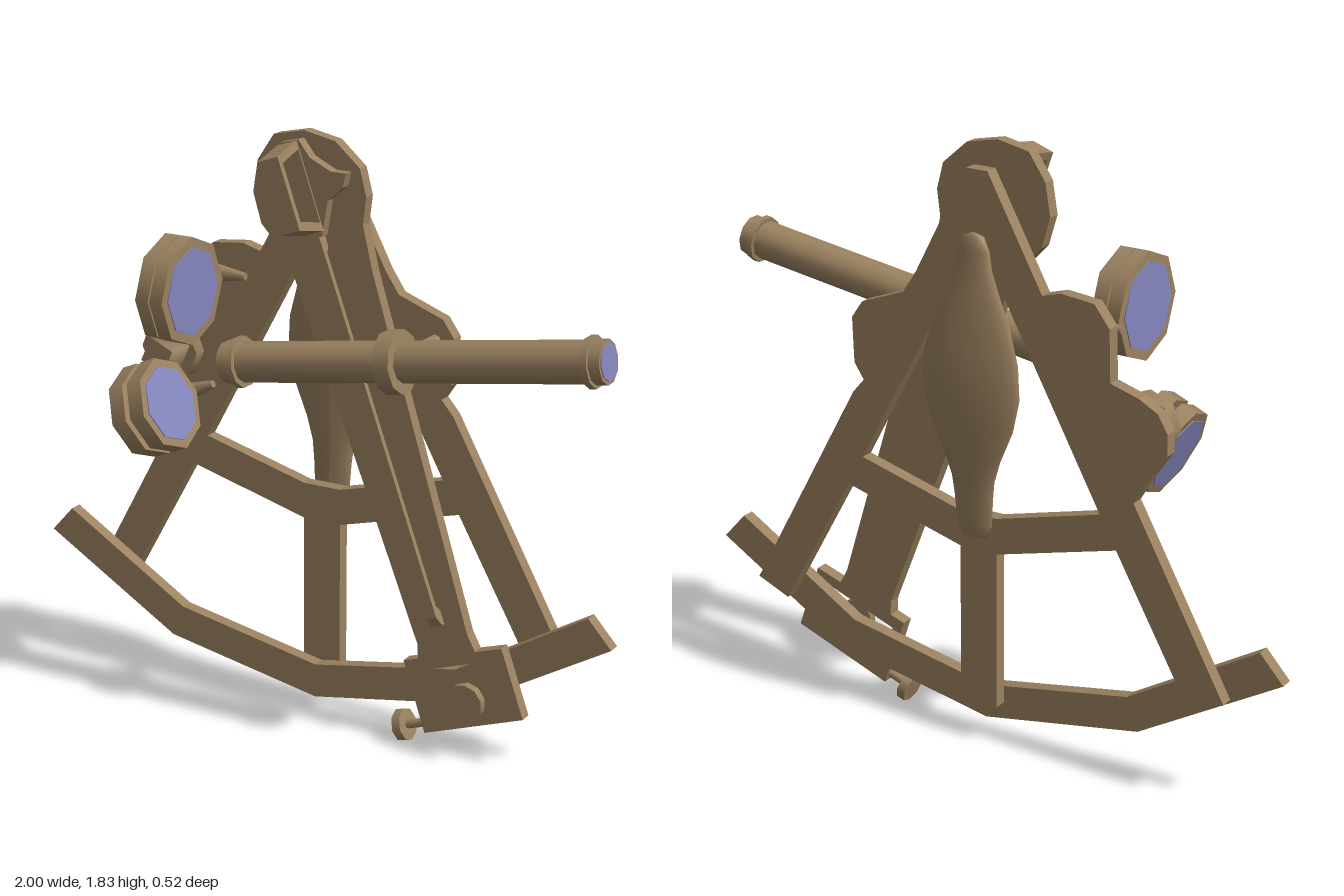
import * as THREE from 'three';

const brass = new THREE.MeshStandardMaterial({ color: 0x9b8260 });
brass.name = 'brass';
const glass = new THREE.MeshStandardMaterial({ color: 0x8586bd });
glass.name = 'blue glass';

export function createModel() {
  const model = new THREE.Group();
  model.name = 'sextant';

  const add = (name, geo, mat = brass, parent = model) => {
    const m = new THREE.Mesh(geo, mat);
    m.name = name;
    parent.add(m);
    return m;
  };
  const vecs = pts => pts.map(([x, y]) => new THREE.Vector2(x, y));
  // Flat plate from an outline, between two depths
  const plate = (name, pts, z0, z1, holes = [], parent = model) => {
    const s = new THREE.Shape(vecs(pts));
    holes.forEach(h => s.holes.push(new THREE.Path(vecs(h))));
    const g = new THREE.ExtrudeGeometry(s, { depth: z1 - z0, bevelEnabled: false });
    return add(name, g.translate(0, 0, z0), brass, parent);
  };
  // Cylinder along z
  const boss = (name, x, y, z0, z1, r, sides = 8) =>
    add(name, new THREE.CylinderGeometry(r, r, z1 - z0, sides).rotateX(Math.PI / 2))
      .position.set(x, y, (z0 + z1) / 2);
  // Cylinder along local x, between two stations
  const rod = (name, x0, x1, r0, r1, parent, mat = brass, sides = 8) => {
    const g = new THREE.CylinderGeometry(r1, r0, x1 - x0, sides).rotateZ(-Math.PI / 2);
    return add(name, g.translate((x0 + x1) / 2, 0, 0), mat, parent);
  };
  const holder = (name, x, y, z, angle) => {
    const g = new THREE.Group();
    g.name = name;
    g.position.set(x, y, z);
    g.rotation.z = angle;
    model.add(g);
    return g;
  };

  // Frame with lobed sides, crossbar and centre post
  plate('frame', [
    [-0.062, 1.765], [-0.24, 1.438], [-0.3, 1.455], [-0.406, 1.444], [-0.455, 1.38],
    [-0.46, 1.225], [-0.55, 1.198], [-0.61, 1.166], [-0.642, 1.112], [-0.642, 1.048],
    [-0.594, 0.979], [-0.54, 0.888], [-0.839, 0.345], [-0.73, 0.3], [-0.487, 0.733],
    [-0.09, 0.626], [-0.09, 0.13], [0.035, 0.13], [0.035, 0.626], [0.433, 0.733],
    [0.676, 0.3], [0.785, 0.345], [0.408, 1.03], [0.369, 1.075], [0.401, 1.123],
    [0.406, 1.262], [0.369, 1.315], [0.225, 1.369], [0.182, 1.433], [0.008, 1.765],
  ], -0.185, -0.143, [[
    [-0.433, 0.83], [-0.09, 0.738], [0.035, 0.738], [0.379, 0.83], [-0.027, 1.575],
  ]]);

  // Graduated arc
  plate('arc', [
    [-1, 0.43], [-0.545, 0.16], [-0.027, 0.064], [0.491, 0.16], [0.946, 0.43],
    [0.871, 0.513], [0.454, 0.262], [-0.027, 0.171], [-0.508, 0.262], [-0.925, 0.513],
  ], -0.143, -0.102);

  // Swinging arm with its round head
  plate('indexArm', [
    [-0.043, 1.834], [-0.144, 1.813], [-0.198, 1.733], [-0.214, 1.636], [-0.187, 1.545],
    [-0.096, 1.449], [0.345, 0.335], [0.348, 0.285], [0.535, 0.35], [0.508, 0.4],
    [0.182, 1.449], [0.15, 1.583], [0.16, 1.663], [0.139, 1.743], [0.059, 1.813],
  ], -0.102, -0.063);
  boss('armPivot', -0.03, 1.655, -0.145, -0.1, 0.055);

  // Raised rib along the arm, joined to it at both ends
  const rib = holder('armRib', 0.21, 0.976, 0, Math.atan2(-209, 76));
  const ribSide = new THREE.Shape(vecs([
    [-0.6, -0.065], [-0.6, -0.03], [0.57, -0.03], [0.6, -0.05], [0.6, -0.065],
    [0.56, -0.065], [0.54, -0.047], [-0.54, -0.047], [-0.56, -0.065],
  ]));
  add('ribBar', new THREE.ExtrudeGeometry(ribSide, { depth: 0.038, bevelEnabled: false })
    .translate(0, 0, -0.019).rotateX(Math.PI / 2), brass, rib);

  // Index mirror: base plate and upright open frame
  plate('mirrorBase', [
    [-0.107, 1.797], [-0.043, 1.813], [-0.005, 1.765], [0.064, 1.732], [0.112, 1.732],
    [0.102, 1.69], [0.053, 1.647], [0.035, 1.54], [-0.005, 1.53],
  ], -0.064, -0.03);
  const mirror = holder('indexMirror', -0.037, 1.673, 0, Math.atan2(-48, 17));
  const ring = new THREE.Shape(vecs([[-0.135, -0.035], [0.135, -0.035], [0.108, 0.09], [-0.108, 0.09]]));
  ring.holes.push(new THREE.Path(vecs([[-0.108, -0.025], [0.108, -0.025], [0.086, 0.072], [-0.086, 0.072]])));
  add('mirrorFrame', new THREE.ExtrudeGeometry(ring, { depth: 0.07, bevelEnabled: false })
    .translate(0, 0, -0.035).rotateX(Math.PI / 2), brass, mirror);

  // Vernier plate with window, clamp knob and tangent screw
  plate('vernierPlate', [[0.3, 0.273], [0.62, 0.38], [0.695, 0.171], [0.374, 0.053]],
    -0.101, -0.062, [[[0.342, 0.246], [0.6, 0.34], [0.628, 0.273], [0.366, 0.178]]]);
  boss('knobStem', 0.53, 0.207, -0.065, -0.03, 0.022);
  boss('clampKnob', 0.53, 0.207, -0.032, -0.006, 0.058, 10);
  const screw = holder('tangentScrew', 0.295, 0.055, -0.08, 0.33);
  rod('screwShaft', 0, 0.12, 0.014, 0.014, screw);
  rod('screwHead', -0.014, 0.014, 0.05, 0.05, screw);

  // Telescope with rings and end lenses
  const scope = holder('telescope', 0.345, 1.248, 0.095, 0.152);
  rod('tube', -0.555, 0.64, 0.06, 0.06, scope, brass, 10);
  rod('frontRing', 0.595, 0.615, 0.073, 0.073, scope, brass, 10);
  rod('frontRim', 0.615, 0.648, 0.063, 0.063, scope, brass, 10);
  rod('rearRing', -0.522, -0.5, 0.076, 0.076, scope, brass, 10);
  rod('rearRim', -0.56, -0.522, 0.063, 0.063, scope, brass, 10);
  rod('middleRing', -0.025, 0.025, 0.092, 0.092, scope, brass, 10);
  rod('frontLens', 0.646, 0.651, 0.053, 0.053, scope, glass, 10);
  rod('rearLens', -0.563, -0.558, 0.05, 0.05, scope, glass, 10);
  boss('telescopePost', 0.345, 1.248, -0.145, 0.03, 0.02);

  // Pairs of shade glasses on pivots
  const shades = (name, x, y, z, angle, r, gap, thick) => {
    const g = holder(name, x, y, z, angle);
    for (const s of [-1, 1]) {
      const c = s * gap / 2, h = thick / 2;
      rod('shadeRim', c - h, c + h, r, r, g);
      rod('shadeGlass', c - h - 0.003, c + h + 0.003, r * 0.82, r * 0.82, g, glass);
      const pin = rod('pivotPin', s < 0 ? -0.09 : 0, s < 0 ? 0 : 0.09,
        s < 0 ? 0.012 : 0.026, s < 0 ? 0.026 : 0.012, g);
      pin.position.z = -0.12 - z;
    }
    boss('shadeStem', x, y, -0.145, z - r + 0.03, 0.018);
  };
  shades('upperShades', -0.368, 1.36, 0.1, 0, 0.163, 0.048, 0.043);
  shades('lowerShades', -0.479, 0.973, 0.075, 0.4, 0.143, 0.07, 0.052);

  // Mount beside the lower shades
  boss('mountDisc', -0.54, 1.1, -0.145, -0.1, 0.098);
  const mount = add('mountBlock', new THREE.CylinderGeometry(0.06, 0.085, 0.065, 4)
    .rotateX(Math.PI / 2));
  mount.position.set(-0.545, 1.095, -0.07);
  mount.rotation.z = 0.35;

  // Hand grip: a flattened spindle behind the frame
  const profile = [
    [0, 0.67], [0.04, 0.68], [0.06, 0.72], [0.065, 0.8], [0.072, 0.86], [0.095, 0.93],
    [0.14, 1.03], [0.163, 1.13], [0.157, 1.23], [0.125, 1.34], [0.085, 1.43],
    [0.062, 1.49], [0.054, 1.54], [0.035, 1.58], [0, 1.592],
  ];
  const grip = new THREE.LatheGeometry(vecs(profile), 16);
  const p = grip.attributes.position;
  for (let i = 0; i < p.count; i++) {
    const x = p.getX(i), z = p.getZ(i), r = Math.hypot(x, z);
    const d = 0.018 + 0.018 * Math.sin(Math.PI * (p.getY(i) - 0.67) / 0.922) ** 2;
    p.setXYZ(i, x - 0.027, p.getY(i), -0.185 - d + (r > 1e-6 ? z / r * Math.min(d, r) : 0));
  }
  grip.computeVertexNormals();
  add('handGrip', grip);

  return model;
}
